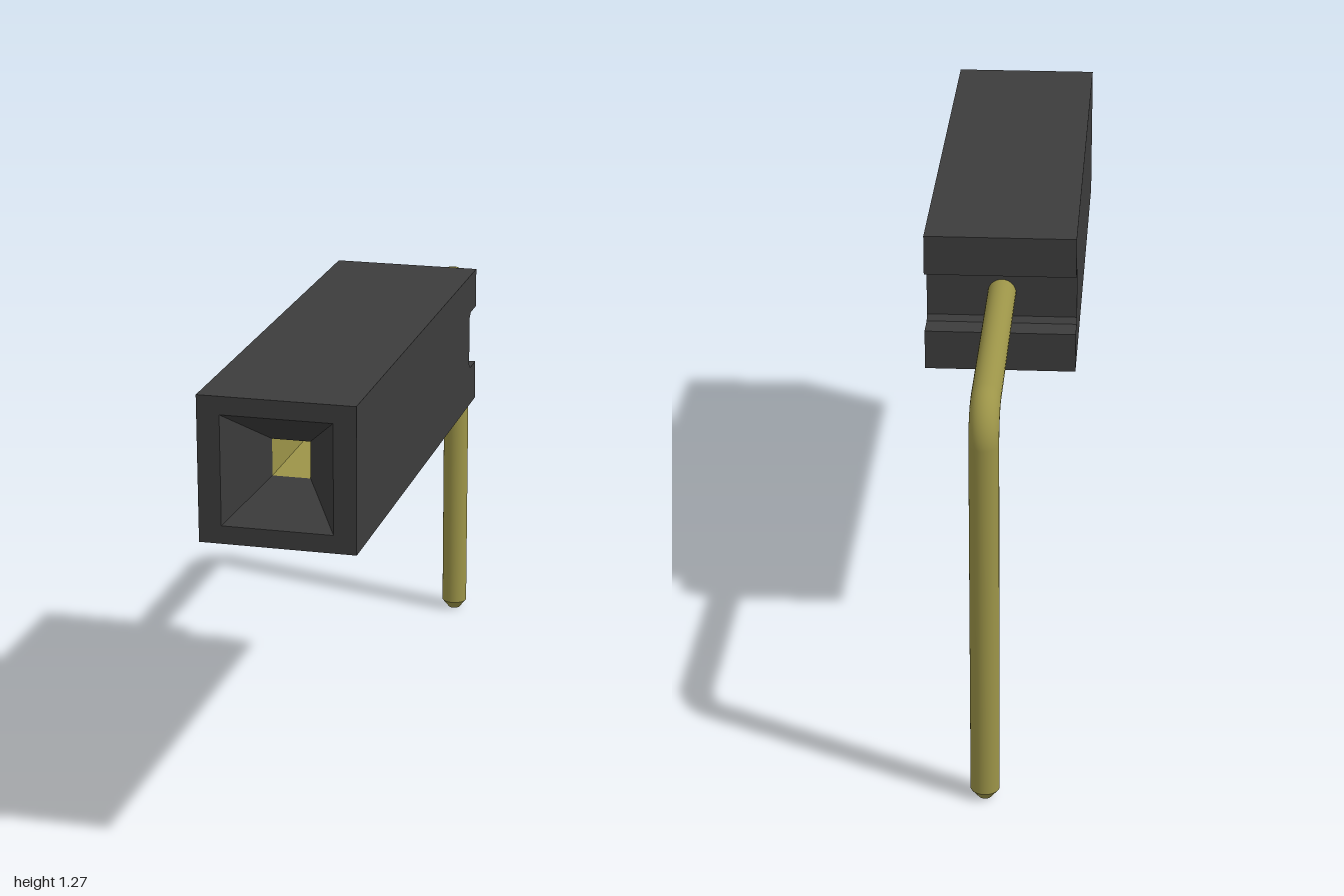
import * as THREE from 'three';

const CY = 1.08; // height of the socket and pin axis
const W = 0.197, H = 0.186; // half width and half height of the housing
const SOCKET_END = -0.1, THROAT = 0.87;

const plastic = new THREE.MeshStandardMaterial({ color: 0x3c3c3c, flatShading: true });
const goldFlat = new THREE.MeshStandardMaterial({ color: 0x9c9448, flatShading: true });
const gold = new THREE.MeshStandardMaterial({ color: 0x9c9448 });

// Joins rectangular rings [halfWidth, halfHeight, z] with flat walls
function loftRings(rings) {
  const corners = [[-1, -1], [1, -1], [1, 1], [-1, 1]];
  const point = ([w, h, z], i) => [corners[i % 4][0] * w, CY + corners[i % 4][1] * h, z];
  const positions = [];
  for (let r = 0; r < rings.length - 1; r++) {
    for (let i = 0; i < 4; i++) {
      const a = point(rings[r], i), b = point(rings[r], i + 1);
      const c = point(rings[r + 1], i + 1), d = point(rings[r + 1], i);
      positions.push(...a, ...b, ...c, ...a, ...c, ...d);
    }
  }
  const geometry = new THREE.BufferGeometry();
  geometry.setAttribute('position', new THREE.Float32BufferAttribute(positions, 3));
  geometry.computeVertexNormals();
  return geometry;
}

export function createModel() {
  const model = new THREE.Group();
  model.name = 'angledSocketConnector';
  const add = (name, geometry, material, parent = model) => {
    const mesh = new THREE.Mesh(geometry, material);
    mesh.name = name;
    parent.add(mesh);
    return mesh;
  };

  // Front sleeve: outer walls, rim and tapered lead-in
  const housing = new THREE.Group();
  housing.name = 'housing';
  model.add(housing);
  add('frontSleeve', loftRings([
    [W, H, SOCKET_END], [W, H, 1], [0.14, 0.14, 1], [0.048, 0.047, THROAT],
  ]), plastic, housing);

  // Rear block with a chamfered slot across its back, drawn as (-z, y)
  const back = 0.317, floor = 0.237, s = 0.08, c = 0.014;
  const profile = new THREE.Shape([
    [-SOCKET_END, CY - H], [back, CY - H], [back, CY - s], [floor + c, CY - s],
    [floor, CY - s + c], [floor, CY + s - c], [floor + c, CY + s],
    [back, CY + s], [back, CY + H], [-SOCKET_END, CY + H],
  ].map(([x, y]) => new THREE.Vector2(x, y)));
  const block = new THREE.ExtrudeGeometry(profile, { depth: 2 * W, bevelEnabled: false });
  block.translate(0, 0, -W).rotateY(Math.PI / 2);
  add('rearBlock', block, plastic, housing);

  // Metal lining and end wall of the socket
  add('contactLining', loftRings([
    [0.048, 0.047, THROAT], [0.048, 0.047, SOCKET_END + 0.01], [0, 0, SOCKET_END + 0.01],
  ]), goldFlat);

  // Bent round pin
  const pin = new THREE.Group();
  pin.name = 'pin';
  model.add(pin);
  const R = 0.037, bend = 0.085, legZ = -0.963, seg = 32;
  const bendZ = legZ + bend, bendY = CY - bend, startZ = -0.22, tip = 0.025;

  const arm = add('pinArm', new THREE.CylinderGeometry(R, R, startZ - bendZ, seg, 1, true), gold, pin);
  arm.rotation.x = Math.PI / 2;
  arm.position.set(0, CY, (startZ + bendZ) / 2);

  const elbow = add('pinBend', new THREE.TorusGeometry(bend, R, seg, 16, Math.PI / 2), gold, pin);
  elbow.rotation.y = Math.PI / 2;
  elbow.position.set(0, bendY, bendZ);

  const leg = add('pinLeg', new THREE.CylinderGeometry(R, R, bendY - tip, seg, 1, true), gold, pin);
  leg.position.set(0, (bendY + tip) / 2, legZ);

  const point = add('pinTip', new THREE.CylinderGeometry(R, 0.017, tip, seg), gold, pin);
  point.position.set(0, tip / 2, legZ);

  return model;
}
